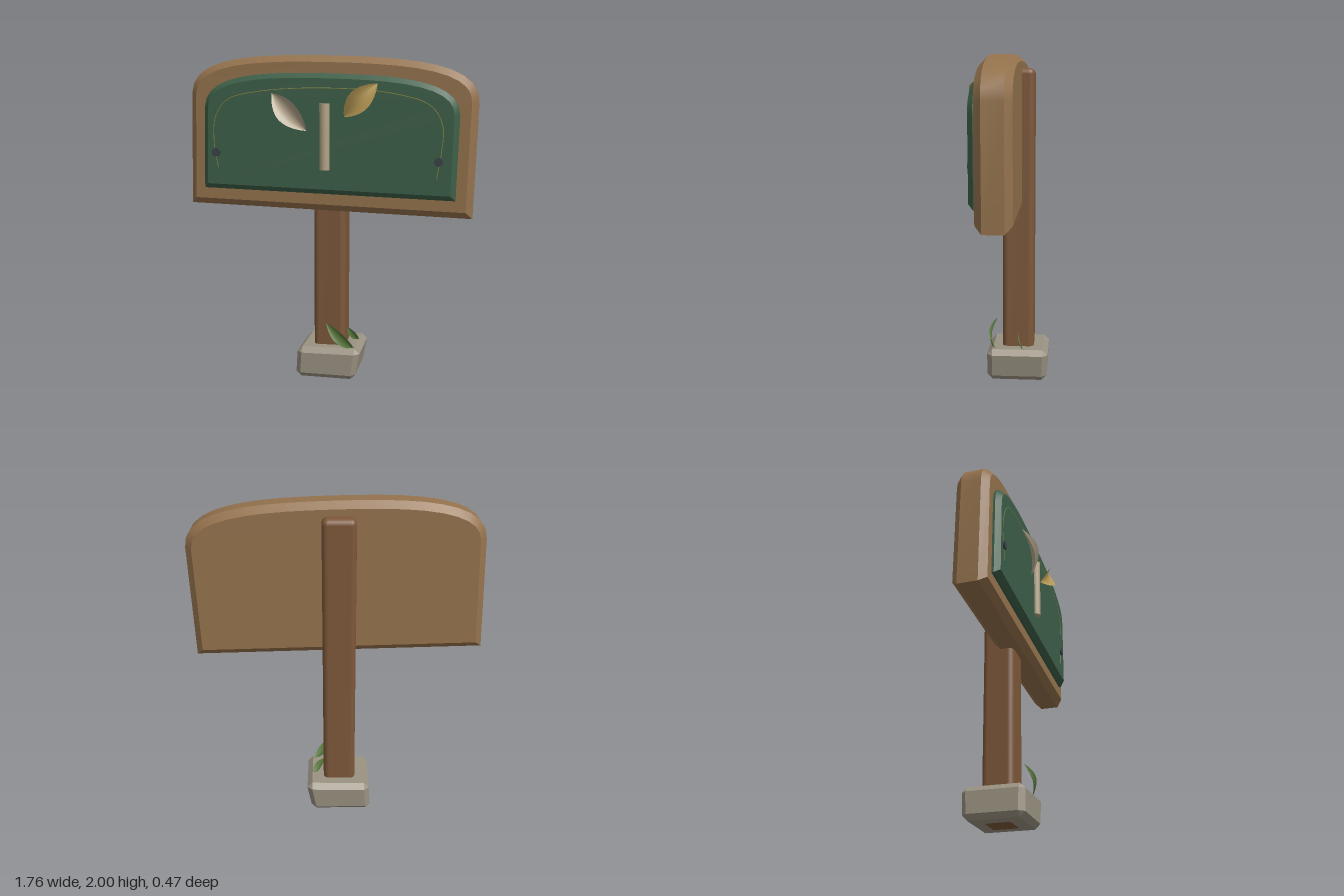
import * as THREE from 'three';
import { toCreasedNormals } from 'three/addons/utils/BufferGeometryUtils.js';
import { RoundedBoxGeometry } from 'three/addons/geometries/RoundedBoxGeometry.js';
import { ConvexGeometry } from 'three/addons/geometries/ConvexGeometry.js';

const V = (x, y, z) => new THREE.Vector3(x, y, z);

function add(parent, name, geometry, color, options = {}) {
  const mesh = new THREE.Mesh(geometry, new THREE.MeshStandardMaterial({ color, ...options }));
  mesh.name = name;
  parent.add(mesh);
  return mesh;
}

// Slab with a straight bottom, arched top and chamfered rim
function archedSlab(hw, bottom, side, top, z0, z1, bevel) {
  const shoulder = side + (top - side) * 0.9;
  const s = new THREE.Shape();
  s.moveTo(-hw, bottom);
  s.lineTo(hw, bottom);
  s.lineTo(hw, side);
  s.bezierCurveTo(hw, shoulder, hw * 0.55, top, 0, top);
  s.bezierCurveTo(-hw * 0.55, top, -hw, shoulder, -hw, side);
  const g = new THREE.ExtrudeGeometry(s, {
    depth: z1 - z0 - 2 * bevel, curveSegments: 10, bevelEnabled: true,
    bevelSegments: 1, bevelSize: bevel, bevelThickness: bevel, bevelOffset: -bevel,
  });
  g.translate(0, 0, z0 + bevel);
  return toCreasedNormals(g, 0.5);
}

// Pointed leaf from a to b, arching toward +z with raised edges
function leafGeometry(a, b, halfWidth, arch, cup) {
  const g = new THREE.PlaneGeometry(2, 1, 6, 14);
  const out = V(0, 0, 1);
  const across = new THREE.Vector3().subVectors(b, a).cross(out).normalize();
  const p = g.attributes.position;
  for (let i = 0; i < p.count; i++) {
    const s = p.getX(i), t = p.getY(i) + 0.5;
    const swell = Math.pow(Math.max(0, Math.sin(Math.PI * t)), 0.85);
    const v = new THREE.Vector3().lerpVectors(a, b, t)
      .addScaledVector(across, s * halfWidth * swell)
      .addScaledVector(out, arch * Math.sin(Math.PI * t) + cup * s * s * swell);
    p.setXYZ(i, v.x, v.y, v.z);
  }
  g.computeVertexNormals();
  return g;
}

// Chamfered block with slightly leaning sides
function stoneGeometry() {
  const c = 0.032, pts = [];
  for (const sx of [-1, 1]) for (const sy of [0, 1]) for (const sz of [-1, 1]) {
    const x = sx > 0 ? (sy ? 0.205 : 0.18) : (sy ? -0.192 : -0.2);
    const y = sy ? (sx > 0 ? 0.205 : 0.2) : 0.004;
    const z = sz > 0 ? 0.14 : (sy ? -0.235 : -0.228);
    const dx = sx * c, dy = (sy ? 1 : -1) * c, dz = sz * c;
    pts.push(V(x, y - dy, z - dz), V(x - dx, y, z - dz), V(x - dx, y - dy, z));
  }
  return new ConvexGeometry(pts);
}

export function createModel() {
  const model = new THREE.Group();
  model.name = 'signpost';
  const thin = { side: THREE.DoubleSide };

  // Base and post
  add(model, 'stoneBase', stoneGeometry(), 0x9a9282, { flatShading: true });
  add(model, 'post', new RoundedBoxGeometry(0.2, 1.92, 0.195, 3, 0.035), 0x7d583a)
    .position.set(0, 0.96, -0.047);

  // Tilted sign
  const sign = new THREE.Group();
  sign.name = 'sign';
  sign.position.y = 1.074;
  sign.rotation.z = -0.028;
  model.add(sign);
  add(sign, 'board', archedSlab(0.87, 0, 0.68, 0.926, -0.07, 0.13, 0.04), 0x94724d);
  add(sign, 'panel', archedSlab(0.768, 0.108, 0.6, 0.822, 0.08, 0.173, 0.03), 0x3d5f48);

  // Fine inlaid line on the panel
  const line = [[-0.665, 1.33], [-0.688, 1.5], [-0.675, 1.64], [-0.6, 1.74], [-0.4, 1.79], [0, 1.81],
    [0.4, 1.78], [0.62, 1.71], [0.688, 1.6], [0.685, 1.45], [0.66, 1.29]];
  const curve = new THREE.CatmullRomCurve3(line.map(([x, y]) => V(x, y, 0.172)));
  add(model, 'inlayLine', new THREE.TubeGeometry(curve, 60, 0.003, 5), 0x7d8549);

  // Studs
  for (const [x, y] of [[-0.675, 1.425], [0.67, 1.39]]) {
    const stud = add(model, 'stud', new THREE.CylinderGeometry(0.026, 0.026, 0.05, 14), 0x3a4345);
    stud.rotation.x = Math.PI / 2;
    stud.position.set(x, y, 0.158);
  }

  // Sprig emblem
  add(model, 'stem', new THREE.CylinderGeometry(0.031, 0.029, 0.39, 14), 0xb3a385)
    .position.set(-0.001, 1.525, 0.174);
  add(model, 'paleLeaf', leafGeometry(V(-0.32, 1.78, 0.175), V(-0.11, 1.56, 0.175), 0.065, 0.03, 0.035),
    0xb5a68c, thin);
  add(model, 'goldLeaf', leafGeometry(V(0.115, 1.645, 0.175), V(0.312, 1.837, 0.175), 0.065, 0.03, 0.035),
    0xb89a55, thin);

  // Grass blades at the foot
  add(model, 'frontBlade', leafGeometry(V(0.17, 0.19, 0.08), V(-0.01, 0.355, 0.09), 0.035, 0.035, 0.012),
    0x5a7a3e, thin);
  add(model, 'backBlade', leafGeometry(V(0.17, 0.19, -0.095), V(0.1, 0.29, -0.05), 0.022, 0.01, 0.008),
    0x5a7a3e, thin);

  return model;
}
